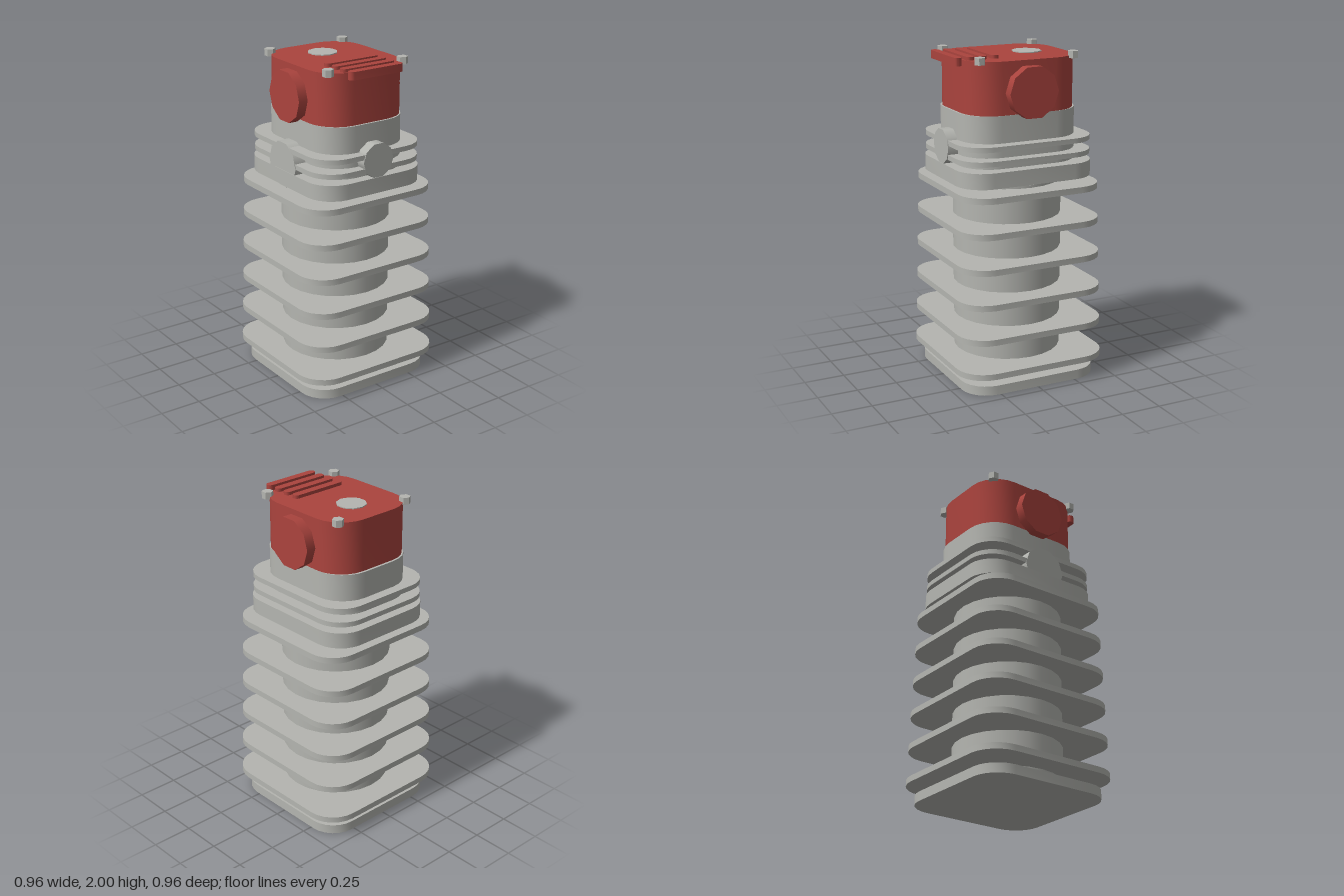
import * as THREE from 'three';
import { toCreasedNormals } from 'three/addons/utils/BufferGeometryUtils.js';

const material = (name, color) => {
  const m = new THREE.MeshStandardMaterial({ color });
  m.name = name;
  return m;
};

export function createModel() {
  const model = new THREE.Group();
  model.name = 'engineCylinder';
  const metal = material('castMetal', 0xb4b5b0);
  const red = material('redPaint', 0xab443e);

  const add = (name, geometry, mat, x = 0, y = 0, z = 0) => {
    const mesh = new THREE.Mesh(geometry, mat);
    mesh.name = name;
    mesh.position.set(x, y, z);
    model.add(mesh);
    return mesh;
  };

  // Upright slab with rounded corners, from y0 to y1; hx and hz are half sizes
  const slab = (name, mat, hx, hz, r, y0, y1, x = 0, z = 0, segments = 3) => {
    const s = new THREE.Shape();
    s.absarc(hx - r, hz - r, r, 0, Math.PI / 2);
    s.absarc(r - hx, hz - r, r, Math.PI / 2, Math.PI);
    s.absarc(r - hx, r - hz, r, Math.PI, Math.PI * 1.5);
    s.absarc(hx - r, r - hz, r, Math.PI * 1.5, Math.PI * 2);
    s.closePath();
    const g = new THREE.ExtrudeGeometry(s, { depth: y1 - y0, bevelEnabled: false, curveSegments: segments });
    g.rotateX(-Math.PI / 2);
    return add(name, toCreasedNormals(g, 0.7), mat, x, y0, z);
  };

  // Cylinder with a corner pointing along x
  const drum = (r, length, sides) => new THREE.CylinderGeometry(r, r, length, sides).rotateY(Math.PI / 2);

  // Barrel with its foot and tapering cooling fins
  slab('foot', metal, 0.435, 0.435, 0.165, 0, 0.058);
  add('barrel', drum(0.33, 1.226, 24), metal, 0, 0.623, 0);
  for (let i = 0; i < 6; i++) {
    const half = 0.478 - i * 0.0058, y = 0.117 + i * 0.2132;
    slab('barrelFin', metal, half, half, half * 0.375, y, y + 0.037);
  }

  // Cylinder head with flange, two fins and round bosses
  slab('headFlange', metal, 0.434, 0.38, 0.17, 1.252, 1.347, -0.003);
  slab('headBody', metal, 0.369, 0.303, 0.19, 1.3, 1.66, -0.003, -0.001);
  for (const y of [1.383, 1.468]) slab('headFin', metal, 0.43, 0.375, 0.168, y, y + 0.03, -0.003);
  add('frontBoss', drum(0.14, 0.128, 10).rotateX(Math.PI / 2), metal, -0.003, 1.382, 0.314);
  add('sideBoss', new THREE.CylinderGeometry(0.106, 0.106, 0.13, 10).rotateZ(Math.PI / 2), metal, 0.367, 1.45, -0.002);

  // Painted cover with a round port at front and back
  slab('cover', red, 0.355, 0.302, 0.185, 1.66, 1.973, -0.002, -0.001);
  for (const side of [-1, 1]) {
    add('port', drum(0.157, 0.12, 10).rotateX(Math.PI / 2), red, -0.002, 1.79, -0.002 + side * 0.302);
  }

  // Cap disc and ribs on top of the cover
  add('capDisc', drum(0.09, 0.04, 10), metal, -0.133, 1.959, -0.001);
  for (let i = 0; i < 4; i++) {
    slab('coverRib', red, 0.0235, 0.185, 0.0234, 1.945, 1.993, 0.157 + i * 0.0783, -0.002, 2);
  }

  // Hexagonal corner bolts
  for (const x of [-0.304, 0.299]) {
    for (const z of [-0.264, 0.26]) {
      const g = toCreasedNormals(drum(0.034, 0.042, 6).toNonIndexed(), 0.5);
      add('cornerBolt', g, metal, x, 1.979, z);
    }
  }
  return model;
}
